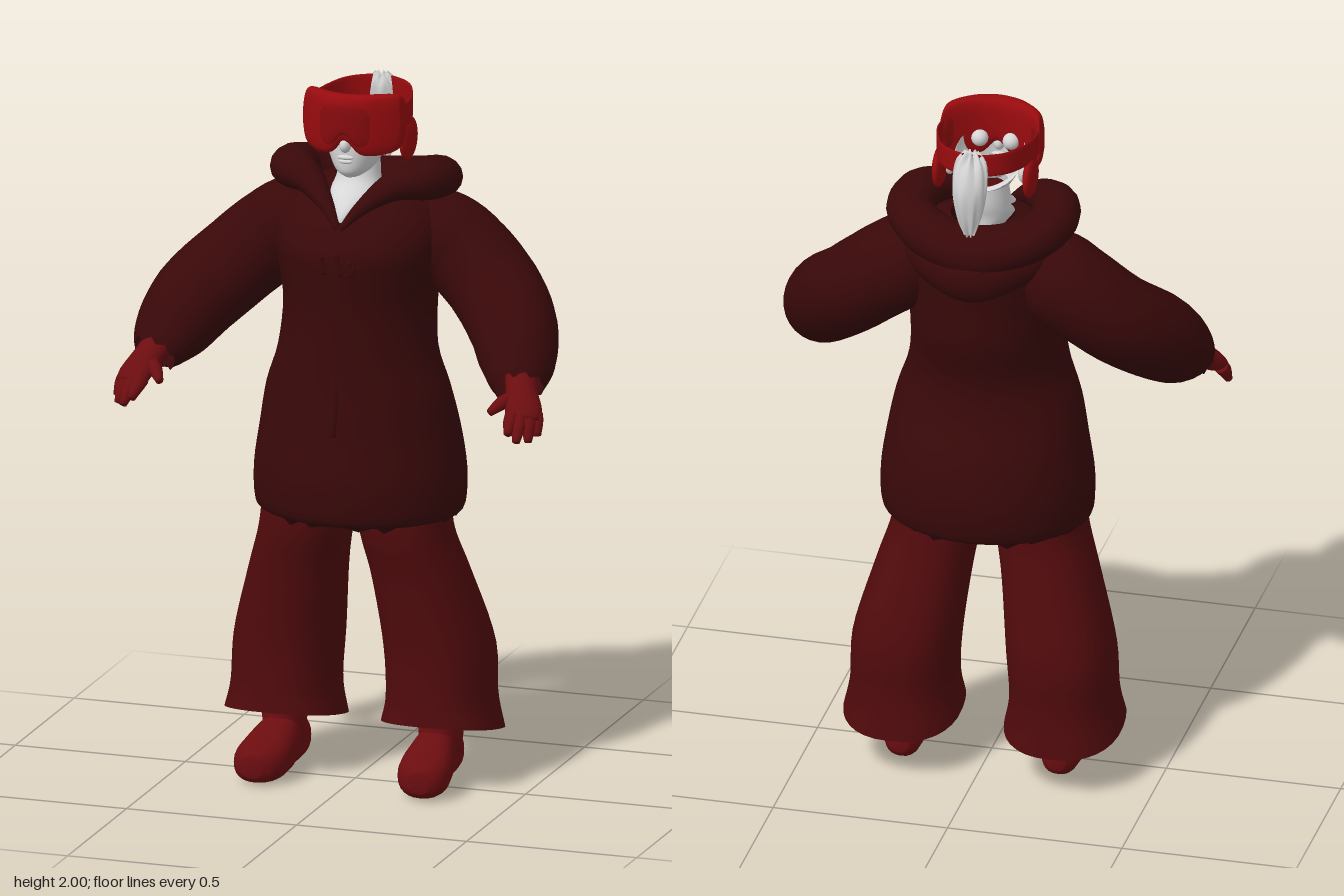
import * as THREE from 'three';

const mat = (name, color, side = THREE.FrontSide) => {
  const m = new THREE.MeshStandardMaterial({ color, side });
  m.name = name;
  return m;
};
const V = (x, y, z) => new THREE.Vector3(x, y, z);
const X = V(1, 0, 0), Y = V(0, 1, 0), Z = V(0, 0, 1);

// Smooth loft through rows of [x, y, z, radiusU, radiusV]; dir fixes the ring normal, ref points along U.
function loft(rows, { n = 24, k = 24, ref = X, dir = null, power = 2, caps = true, warp = null } = {}) {
  const spline = new THREE.CubicInterpolant(rows.map((_, i) => i), rows.flat(), 5);
  const at = t => Array.from(spline.evaluate(THREE.MathUtils.clamp(t, 0, 1) * (rows.length - 1)));
  const centre = t => V(...at(t).slice(0, 3));
  const curve = v => Math.sign(v) * Math.abs(v) ** (2 / power);
  const pos = [], index = [];
  for (let i = 0; i <= k; i++) {
    const t = i / k, r = at(t);
    const d = dir || centre(t + 0.01).sub(centre(t - 0.01)).normalize();
    const u = ref.clone().addScaledVector(d, -ref.dot(d)).normalize();
    const v = u.clone().cross(d);
    for (let j = 0; j < n; j++) {
      const a = j / n * Math.PI * 2;
      const p = centre(t).addScaledVector(u, curve(Math.cos(a)) * r[3]).addScaledVector(v, curve(Math.sin(a)) * r[4]);
      if (warp) warp(p, a, t);
      pos.push(p.x, p.y, p.z);
      if (i < k) {
        const b = i * n + j, c = i * n + (j + 1) % n;
        index.push(b, b + n, c, c, b + n, c + n);
      }
    }
  }
  if (caps) {
    const first = pos.length / 3, last = k * n;
    pos.push(...at(0).slice(0, 3), ...at(1).slice(0, 3));
    for (let j = 0; j < n; j++) {
      const q = (j + 1) % n;
      index.push(first, j, q, first + 1, last + q, last + j);
    }
  }
  const g = new THREE.BufferGeometry();
  g.setAttribute('position', new THREE.Float32BufferAttribute(pos, 3));
  g.setIndex(index);
  g.computeVertexNormals();
  return g;
}

export function createModel() {
  const model = new THREE.Group();
  model.name = 'figure in winter clothes';
  const coat = mat('dark maroon cloth', 0x390809, THREE.DoubleSide);
  const cloth = mat('deep red cloth', 0x500a0c, THREE.DoubleSide);
  const leather = mat('red leather', 0x6b0d10);
  const plastic = mat('bright red plastic', 0x980b0e);
  const lensRed = mat('lens red', 0x860a0d);
  const pale = mat('pale grey', 0xd6d6d6, THREE.DoubleSide);
  const add = (name, geometry, material) => {
    const mesh = new THREE.Mesh(geometry, material);
    mesh.name = name;
    model.add(mesh);
    return mesh;
  };
  const ball = (name, material, x, y, z, rx, ry, rz) => {
    const mesh = add(name, new THREE.SphereGeometry(1, 20, 14), material);
    mesh.position.set(x, y, z);
    mesh.scale.set(rx, ry, rz);
    return mesh;
  };
  const side = (s, rows) => rows.map(([x, ...rest]) => [x * s, ...rest]);

  // Coat body, open below, with a ragged inturned hem
  add('coat body', loft([
    [0, 0.775, -0.04, 0.275, 0.225], [0, 0.80, -0.042, 0.297, 0.255], [0, 0.90, -0.045, 0.3, 0.264],
    [0, 1.02, -0.043, 0.283, 0.244], [0, 1.14, -0.028, 0.26, 0.215], [0, 1.25, -0.025, 0.225, 0.205],
    [0, 1.38, -0.045, 0.215, 0.22], [0, 1.48, -0.045, 0.228, 0.226], [0, 1.55, -0.047, 0.24, 0.23],
    [0, 1.61, -0.065, 0.24, 0.218], [0, 1.66, -0.09, 0.22, 0.198], [0, 1.70, -0.1, 0.17, 0.16],
    [0, 1.73, -0.1, 0.09, 0.09],
  ], {
    n: 48, k: 48, dir: Y, caps: false,
    warp: (p, a, t) => { if (t < 0.01) p.y += 0.009 * Math.sin(a * 17) + 0.006 * Math.sin(a * 23); },
  }), coat);

  // Hood roll around the neck, and its drape behind
  const hoodSide = [
    [0.05, 1.68, 0.1, 0.02, 0.022], [0.12, 1.732, 0.04, 0.04, 0.045], [0.19, 1.742, -0.03, 0.058, 0.066],
    [0.2, 1.725, -0.13, 0.06, 0.068], [0.12, 1.69, -0.2, 0.066, 0.075],
  ];
  add('hood roll', loft([
    [0.004, 1.625, 0.14, 0.008, 0.008], ...hoodSide, [0, 1.665, -0.222, 0.075, 0.08],
    ...side(-1, hoodSide).reverse(), [-0.004, 1.625, 0.14, 0.008, 0.008],
  ], { n: 16, k: 64, ref: Y }), coat);
  add('hood drape', loft([
    [0.2, 1.67, -0.13, 0.03, 0.03], [0.14, 1.63, -0.2, 0.055, 0.05], [0, 1.60, -0.25, 0.075, 0.06],
    [-0.14, 1.63, -0.2, 0.055, 0.05], [-0.2, 1.67, -0.13, 0.03, 0.03],
  ], { n: 16, k: 24, ref: Y }), coat);

  // Lower front placket and toggles
  add('placket', loft([
    [0, 1.04, 0.196, 0.01, 0.007], [0, 1.10, 0.191, 0.012, 0.007],
    [0, 1.16, 0.183, 0.012, 0.007], [0, 1.22, 0.178, 0.008, 0.005],
  ], { n: 10, k: 12, dir: Y }), coat);
  for (const [x, y, h] of [[-0.035, 1.53, 0.04], [0.012, 1.535, 0.05], [0.045, 1.525, 0.03]]) {
    const toggle = add('toggle', new THREE.CapsuleGeometry(0.008, h, 4, 8), coat);
    toggle.position.set(x, y, 0.181);
    toggle.rotation.z = 0.25;
  }
  add('toggle cord', new THREE.BoxGeometry(0.12, 0.012, 0.012), coat).position.set(0, 1.525, 0.18);

  for (const s of [1, -1]) {
    // Sleeve with an open ragged cuff, and the forearm inside
    add('sleeve', loft(side(s, [
      [0.12, 1.58, -0.1, 0.1, 0.1], [0.2, 1.565, -0.11, 0.13, 0.13], [0.28, 1.52, -0.115, 0.13, 0.132],
      [0.38, 1.435, -0.08, 0.127, 0.132], [0.462, 1.355, 0.0, 0.125, 0.125],
      [0.505, 1.285, 0.08, 0.108, 0.11], [0.527, 1.24, 0.14, 0.075, 0.085], [0.535, 1.225, 0.16, 0.06, 0.07],
    ]), {
      n: 28, k: 32, ref: Y, caps: false,
      warp: (p, a, t) => { if (t > 0.98) p.y += 0.01 * Math.sin(a * 9); },
    }), coat);
    add('forearm', loft(side(s, [[0.48, 1.34, 0.03, 0.035, 0.035], [0.535, 1.245, 0.135, 0.028, 0.028]]),
      { n: 14, k: 4, ref: Y }), pale);

    // Glove
    add('glove palm', loft(side(s, [
      [0.53, 1.25, 0.125, 0.042, 0.045], [0.55, 1.215, 0.175, 0.038, 0.045],
      [0.57, 1.18, 0.22, 0.03, 0.052], [0.582, 1.155, 0.25, 0.018, 0.042],
    ]), { n: 16, k: 10, ref: Y }), leather);
    const fingers = [
      [0.545, 1.17, 0.24, 0.553, 1.13, 0.305], [0.568, 1.165, 0.24, 0.578, 1.11, 0.305],
      [0.588, 1.165, 0.23, 0.603, 1.105, 0.275], [0.602, 1.168, 0.21, 0.618, 1.115, 0.24],
      [0.535, 1.205, 0.19, 0.485, 1.175, 0.262],
    ];
    fingers.forEach(([x, y, z, tx, ty, tz], i) => add(i < 4 ? 'glove finger' : 'glove thumb', loft(side(s, [
      [x, y, z, 0.021, 0.021], [(x + tx) / 2, (y + ty) / 2 + 0.006, (z + tz) / 2, 0.02, 0.02],
      [tx, ty, tz, 0.011, 0.011],
    ]), { n: 10, k: 6, ref: X }), leather));

    // Flared trouser leg; the hem rises toward the front
    add('trouser leg', loft(side(s, [
      [0.23, 0.16, -0.08, 0.167, 0.18], [0.228, 0.25, -0.077, 0.15, 0.17], [0.219, 0.40, -0.08, 0.15, 0.168],
      [0.18, 0.60, -0.042, 0.134, 0.15], [0.15, 0.72, -0.015, 0.127, 0.145],
      [0.135, 0.82, -0.01, 0.128, 0.142], [0.12, 0.95, -0.01, 0.12, 0.14],
    ]), {
      n: 32, k: 28, dir: Y, power: 2.3, caps: false,
      warp: (p, a, t) => { p.y += Math.max(0, 1 - t * 5) * (p.z + 0.08) * 0.2; },
    }), cloth);

    // Boot
    add('boot foot', loft(side(s, [
      [0.225, 0.07, -0.163, 0.025, 0.03], [0.225, 0.075, -0.13, 0.05, 0.06], [0.227, 0.085, -0.04, 0.057, 0.08],
      [0.232, 0.075, 0.04, 0.07, 0.072], [0.238, 0.062, 0.11, 0.075, 0.06],
      [0.243, 0.058, 0.155, 0.06, 0.05], [0.245, 0.056, 0.177, 0.03, 0.03],
    ]), {
      n: 24, k: 28, ref: X, dir: Z, power: 2.4,
      warp: p => {
        const arch = 0.025 * Math.exp(-(((p.z + 0.005) / 0.025) ** 2));
        p.y = Math.max(p.y, (p.z < 0 ? 0.015 : 0.002) + arch);
      },
    }), leather);
    add('boot shaft', loft(side(s, [
      [0.228, 0.09, -0.06, 0.056, 0.08], [0.23, 0.16, -0.065, 0.062, 0.076], [0.228, 0.32, -0.075, 0.065, 0.072],
    ]), { n: 20, k: 8, dir: Y }), leather);

    // Ear, earmuff and eyeball
    ball('ear', pale, s * 0.105, 1.845, -0.06, 0.015, 0.03, 0.02);
    ball('earmuff', plastic, s * 0.13, 1.845, -0.075, 0.018, 0.062, 0.06);
    ball('eyeball', pale, s * 0.045, 1.885, 0.04, 0.024, 0.024, 0.024);
  }

  // Neck and chest, showing in the collar opening
  add('neck', loft([
    [0, 1.62, 0.03, 0.012, 0.1], [0, 1.66, 0.02, 0.045, 0.102], [0, 1.70, 0, 0.07, 0.085],
    [0, 1.74, -0.03, 0.062, 0.064], [0, 1.80, -0.04, 0.056, 0.056],
  ], { n: 24, k: 16, dir: Y, caps: false }), pale);

  // Face shell, open above and cut lower at the back, with a dark throat inside
  add('face', loft([
    [0, 1.755, 0.015, 0.025, 0.045], [0, 1.775, 0.003, 0.052, 0.078], [0, 1.82, -0.02, 0.078, 0.105],
    [0, 1.87, -0.03, 0.097, 0.112], [0, 1.93, -0.03, 0.1, 0.11],
  ], { n: 32, k: 24, dir: Y, caps: false, warp: p => { p.y = Math.min(p.y, 1.885 + 0.5 * p.z); } }), pale);
  ball('throat', cloth, 0, 1.806, -0.07, 0.056, 0.005, 0.038);
  ball('nose', pale, 0, 1.855, 0.085, 0.016, 0.022, 0.022);
  ball('upper lip', pale, 0, 1.819, 0.084, 0.024, 0.007, 0.009);
  ball('lower lip', pale, 0, 1.807, 0.083, 0.02, 0.007, 0.009);
  ball('mouth interior', pale, 0, 1.82, 0, 0.05, 0.025, 0.055);

  // Goggles: curved frame with a narrow nose notch, lens and strap
  const half = [
    [0.143, 1.87, 1.96], [0.136, 1.842, 1.987], [0.115, 1.829, 1.997],
    [0.075, 1.825, 2], [0.04, 1.832, 2],
  ];
  const outline = [...side(-1, half), [0, 1.868, 2], ...half.slice().reverse()];
  const band = (inset, push, depth) => outline.map(([x, lo, hi]) => [
    x * (1 - inset * 5), (lo + hi) / 2, 0.08 + push - 3.8 * x * x, (hi - lo) / 2 - inset, depth]);
  const goggles = { n: 24, k: 40, ref: Y, dir: X, power: 3.5 };
  add('goggle frame', loft(band(0, 0, 0.029), goggles), plastic);
  add('goggle lens', loft(band(0.016, 0.006, 0.027), goggles), lensRed);
  const strapSide = [[0.136, 1.923, 0.01, 0.036, 0.003], [0.136, 1.927, -0.08, 0.035, 0.003], [0.09, 1.937, -0.19, 0.034, 0.003]];
  add('goggle strap', loft([...strapSide, [0, 1.94, -0.232, 0.034, 0.003], ...side(-1, strapSide).reverse()],
    { n: 12, k: 40, ref: Y, power: 4 }), plastic);

  // Gathered hair at the back
  add('hair tail', loft([
    [0, 1.73, -0.252, 0.012, 0.008], [0, 1.79, -0.256, 0.034, 0.024], [0, 1.87, -0.256, 0.046, 0.035],
    [0, 1.94, -0.24, 0.042, 0.032], [0, 1.975, -0.228, 0.018, 0.012],
  ], {
    n: 36, k: 14, dir: Y,
    warp: (p, a) => { p.x *= 1 + 0.1 * Math.sin(a * 9); p.y += 0.01 * Math.sin(a * 7); },
  }), pale);

  return model;
}
